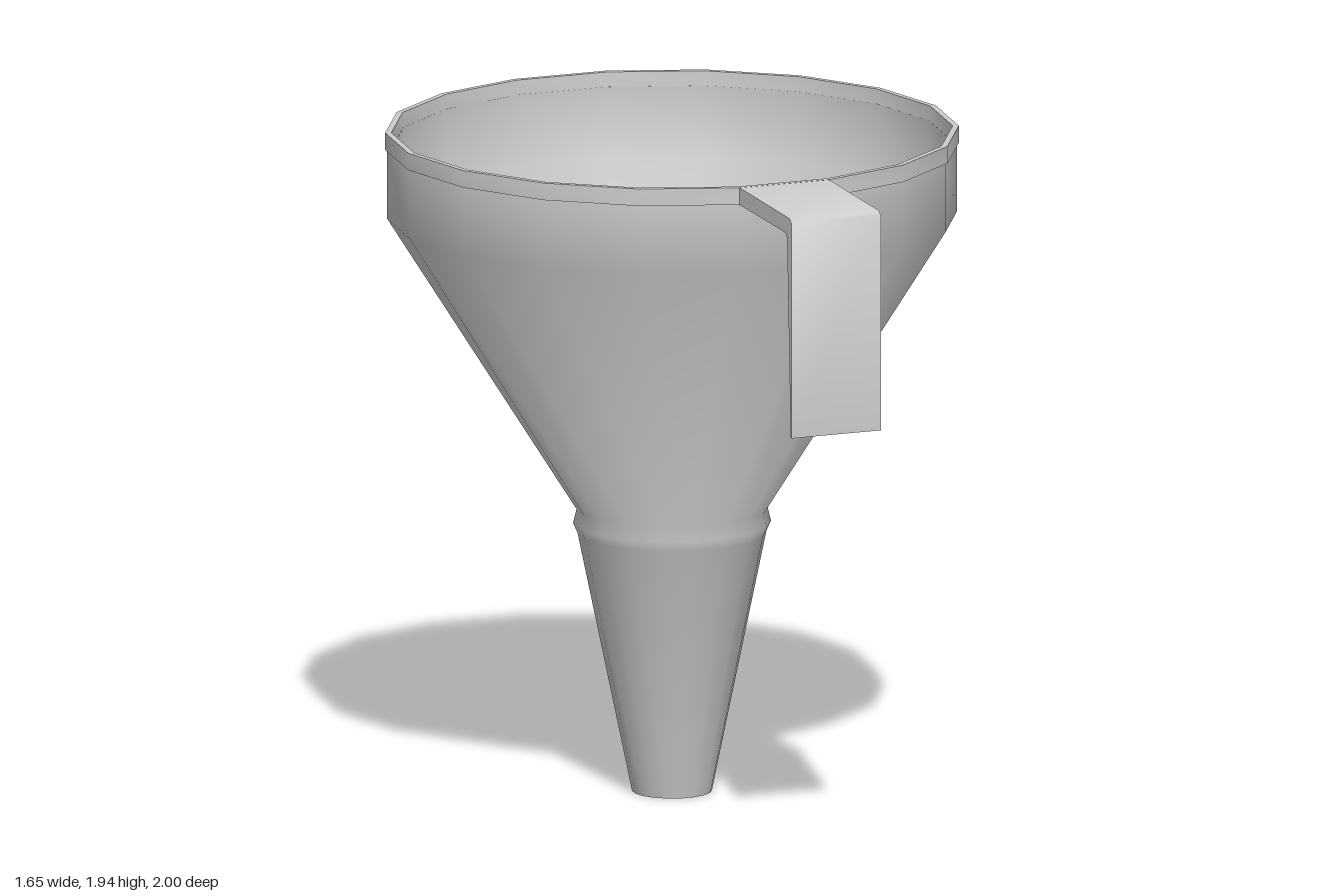
import * as THREE from 'three';
import { toCreasedNormals } from 'three/addons/utils/BufferGeometryUtils.js';

const SIDES = 18;
const AXIS_Z = -0.19; // the bowl sits behind centre to leave room for the handle
const material = new THREE.MeshStandardMaterial({ color: 0xcccccc });

function part(name, geometry, crease) {
  const mesh = new THREE.Mesh(toCreasedNormals(geometry, crease), material);
  mesh.name = name;
  return mesh;
}

// Revolve a profile of [radius, y], with a flat side facing the front
function revolve(name, profile) {
  const points = profile.map(([r, y]) => new THREE.Vector2(r, y));
  const mesh = part(name, new THREE.LatheGeometry(points, SIDES, Math.PI / SIDES), 0.9);
  mesh.position.z = AXIS_Z;
  return mesh;
}

export function createModel() {
  const funnel = new THREE.Group();
  funnel.name = 'funnel';

  // Thin-walled spout, collar and bowl: up the outside, down the inside
  funnel.add(revolve('body', [
    [0.10, 0], [0.115, 0], [0.272, 0.76], [0.285, 0.79], [0.275, 0.83],
    [0.82, 1.69], [0.82, 1.90], [0.805, 1.90],
    [0.805, 1.69], [0.26, 0.83], [0.225, 0.76], [0.10, 0],
  ]));

  // Lip around the mouth
  funnel.add(revolve('rim', [
    [0.805, 1.893], [0.826, 1.893], [0.826, 1.943], [0.808, 1.943], [0.805, 1.893],
  ]));

  // Bent strap handle: side profile in [z, y], extruded across x
  const width = 0.28;
  const strap = new THREE.Shape([
    [0.615, 1.893], [0.955, 1.876], [0.967, 1.86], [0.993, 1.28], [1.0, 1.28],
    [1.0, 1.91], [0.985, 1.923], [0.615, 1.943],
  ].map(([z, y]) => new THREE.Vector2(z, y)));
  const geometry = new THREE.ExtrudeGeometry(strap, { depth: width, bevelEnabled: false });
  geometry.translate(0, 0, -width / 2).rotateY(-Math.PI / 2);
  funnel.add(part('handle', geometry, 0.9));

  return funnel;
}
